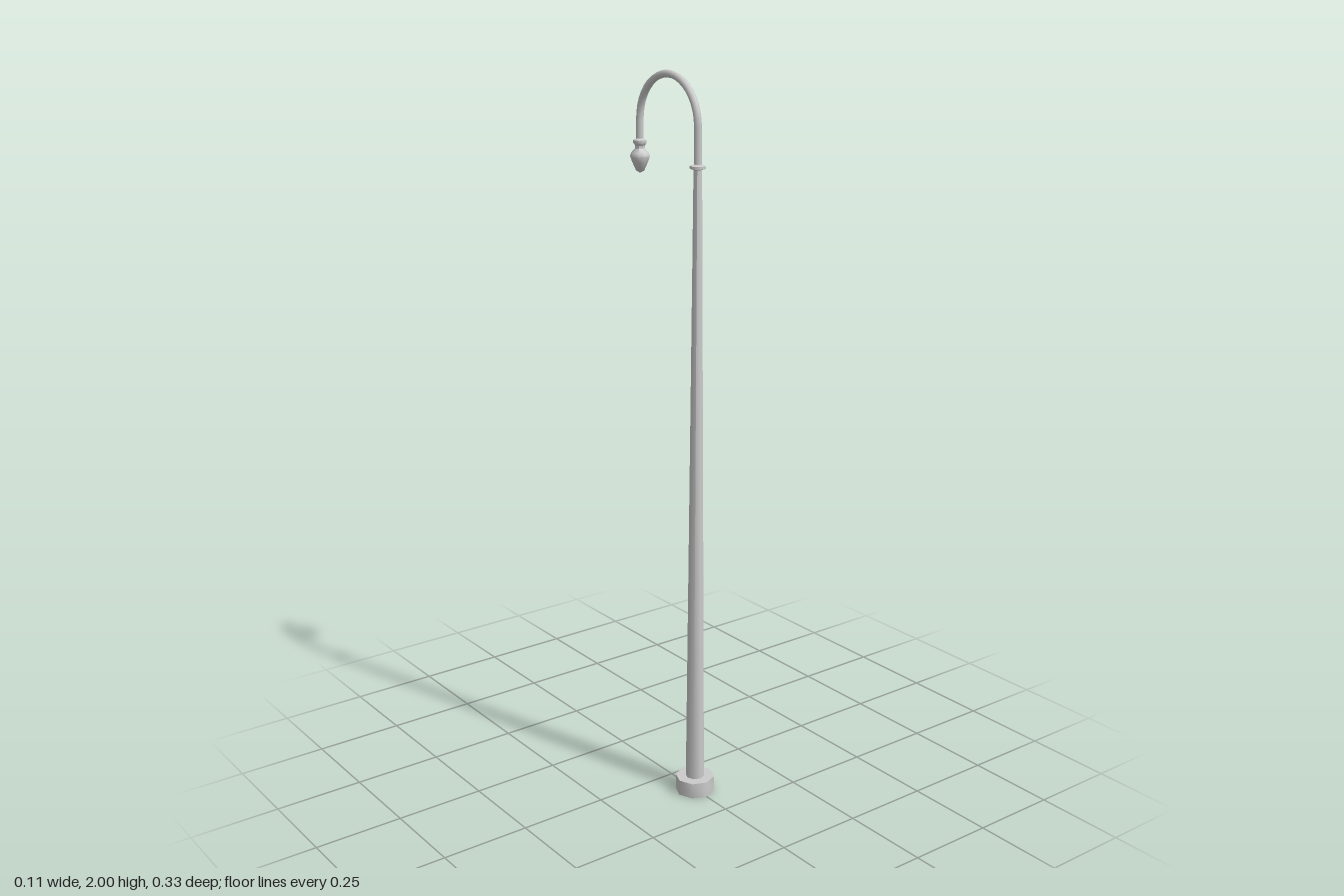
import * as THREE from 'three';
import { toCreasedNormals } from 'three/addons/utils/BufferGeometryUtils.js';

const SIDES = 8;
const POLE_Z = 0.11, LAMP_Z = -0.14;

export function createModel() {
  const group = new THREE.Group();
  const grey = new THREE.MeshStandardMaterial({ color: 0xcccccc });
  const greyOpen = new THREE.MeshStandardMaterial({ color: 0xcccccc, side: THREE.DoubleSide });

  // Turned part from [radius, y] pairs, listed bottom to top
  function turned(name, z, profile, material = grey) {
    const points = profile.map(([r, y]) => new THREE.Vector2(r, y));
    const geometry = toCreasedNormals(new THREE.LatheGeometry(points, SIDES), 0.85);
    const mesh = new THREE.Mesh(geometry, material);
    mesh.name = name;
    mesh.position.z = z;
    group.add(mesh);
  }

  // Footing, hollow underneath
  turned('base', POLE_Z, [[0.055, 0], [0.055, 0.045], [0, 0.045]], greyOpen);

  // Tapered pole and the ring at its top
  turned('pole', POLE_Z, [[0.026, 0.045], [0.011, 1.765]]);
  turned('collar', POLE_Z, [[0.01, 1.759], [0.021, 1.762], [0.021, 1.769], [0.01, 1.773]]);

  // Hooked arm: straight rise, half circle, short drop
  const radius = (POLE_Z - LAMP_Z) / 2, midZ = (POLE_Z + LAMP_Z) / 2;
  const arcY = 1.99 - radius;
  const path = new THREE.CurvePath();
  const at = (y, z) => new THREE.Vector3(0, y, z);
  const arc = [];
  for (let i = 0; i <= 12; i++) {
    const a = (i / 12) * Math.PI;
    arc.push(at(arcY + radius * Math.sin(a), midZ + radius * Math.cos(a)));
  }
  path.add(new THREE.LineCurve3(at(1.765, POLE_Z), arc[0]));
  path.add(new THREE.CatmullRomCurve3(arc));
  path.add(new THREE.LineCurve3(arc[12], at(1.80, LAMP_Z)));
  const arm = new THREE.Mesh(new THREE.TubeGeometry(path, 28, 0.01, SIDES), grey);
  arm.name = 'arm';
  group.add(arm);

  // Lamp head: bulb, waist and top ring
  turned('lamp', LAMP_Z, [
    [0, 1.725], [0.011, 1.731], [0.022, 1.755], [0.027, 1.769], [0.024, 1.778],
    [0.013, 1.789], [0.013, 1.797], [0.018, 1.803], [0.018, 1.811], [0.009, 1.816],
  ]);

  return group;
}
